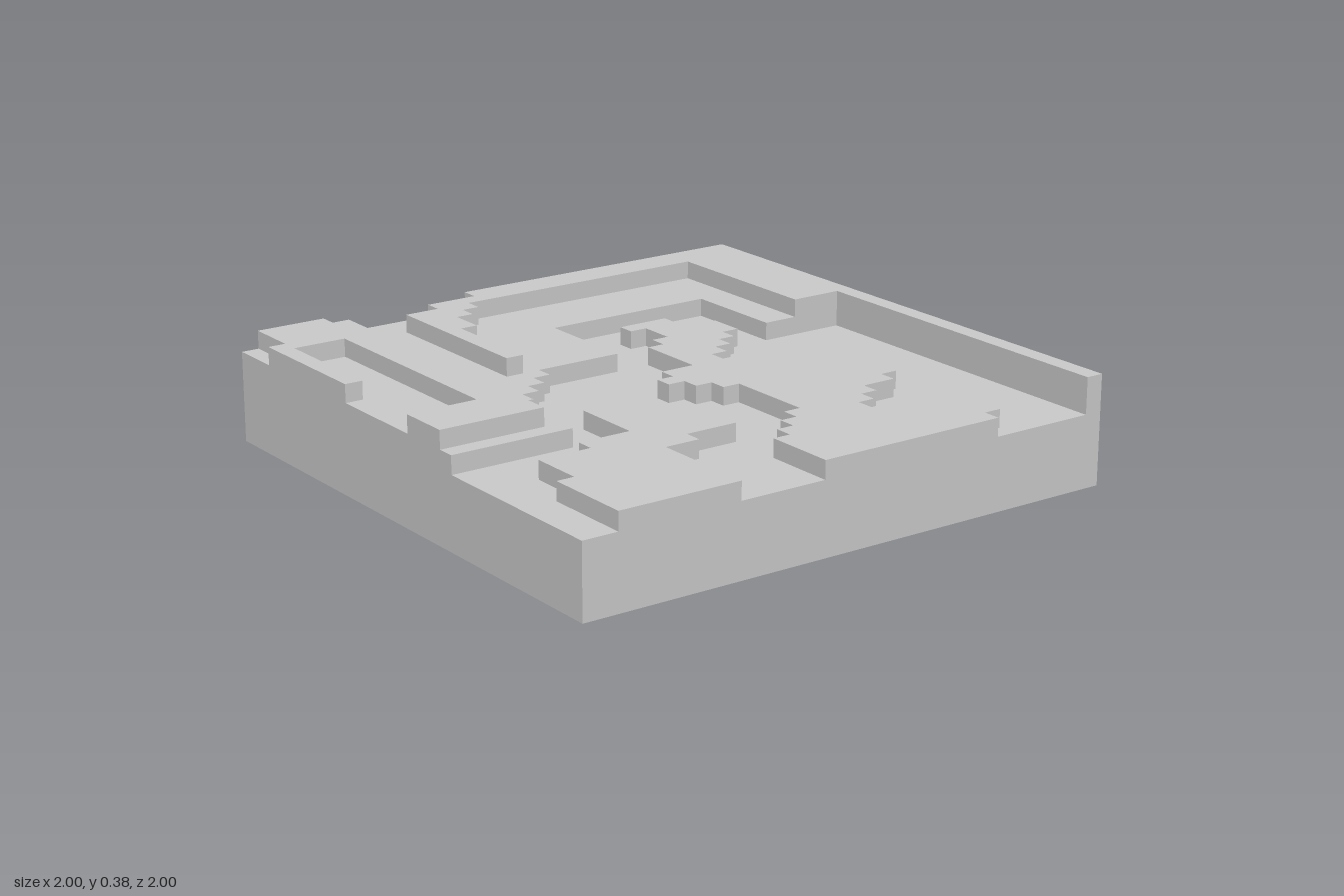
import * as THREE from 'three';

const CELL = 1 / 16;   // one terrain block
const LAYER = CELL;    // thickness of each terrace

const material = new THREE.MeshStandardMaterial({ color: 0xcccccc, flatShading: true });

// Stair-stepped outline in block units: x, z, x, z, ... where each z is a
// horizontal run from the x before it to the x after it (wrapping at the end).
function steppedShape(v) {
  const points = [];
  for (let i = 0; i < v.length; i += 2) {
    const z = -v[i + 1] * CELL;
    points.push(new THREE.Vector2(v[i] * CELL, z));
    points.push(new THREE.Vector2(v[(i + 2) % v.length] * CELL, z));
  }
  return new THREE.Shape(points);
}

// Upright slab with a stepped outline
function terrace(name, bottom, height, outline) {
  const geometry = new THREE.ExtrudeGeometry(steppedShape(outline), { depth: height, bevelEnabled: false });
  geometry.rotateX(-Math.PI / 2);
  geometry.translate(0, bottom, 0);
  const mesh = new THREE.Mesh(geometry, material);
  mesh.name = name;
  return mesh;
}

export function createModel() {
  const model = new THREE.Group();
  model.name = 'steppedTerrain';
  const low = 4 * CELL, mid = low + LAYER;

  model.add(
    // Ground block, its top is the channel floor
    terrace('groundBlock', 0, low, [-16, -16, 16, 16]),

    // Middle level: back land and the two islands
    terrace('backTerrace', low, LAYER, [
      -16, -16, 16, 16, 15, -4, 10, -10, 0, -4, -5, -3, -6, -2, -7, -1, -8, 0, -9, 5,
    ]),
    terrace('smallIsland', low, LAYER, [
      -14, 11, -13, 8, -10, 7, -7, 3, -4, 5, -2, 9, -5, 10, -7, 16,
    ]),
    terrace('centralIsland', low, LAYER, [
      -2, 12, -1, 11, 0, 10, 1, 9, 2, 4, 1, 3, 0, 2, -1, 1, 0, 0, 2, -4, 3, -5, 4, -7, 3, -8,
      6, -7, 7, -6, 8, -4, 7, -3, 6, -2, 5, -1, 4, 0, 5, 1, 6, 2, 7, 3, 8, 4, 9, 5, 10, 7,
      9, 8, 7, 9, 6, 10, 5, 11, 6, 12, 7, 13, 9, 14, 10, 15, 9, 16,
    ]),

    // Upper level: rim along the back and left, ridge with a pocket on the right
    terrace('rimRidge', mid, LAYER, [
      -2, -16, 16, 16, 15, -4, 12, -14, -3, -13, -4, -12, -5, -10, -6, -4, -7, -14, -5, -15,
    ]),
    terrace('pocketRidge', mid, LAYER, [
      -15, -16, -11, -15, -10, 4, -16, 1, -12, -12, -15, -5, -16, -13,
    ]),
  );
  return model;
}
